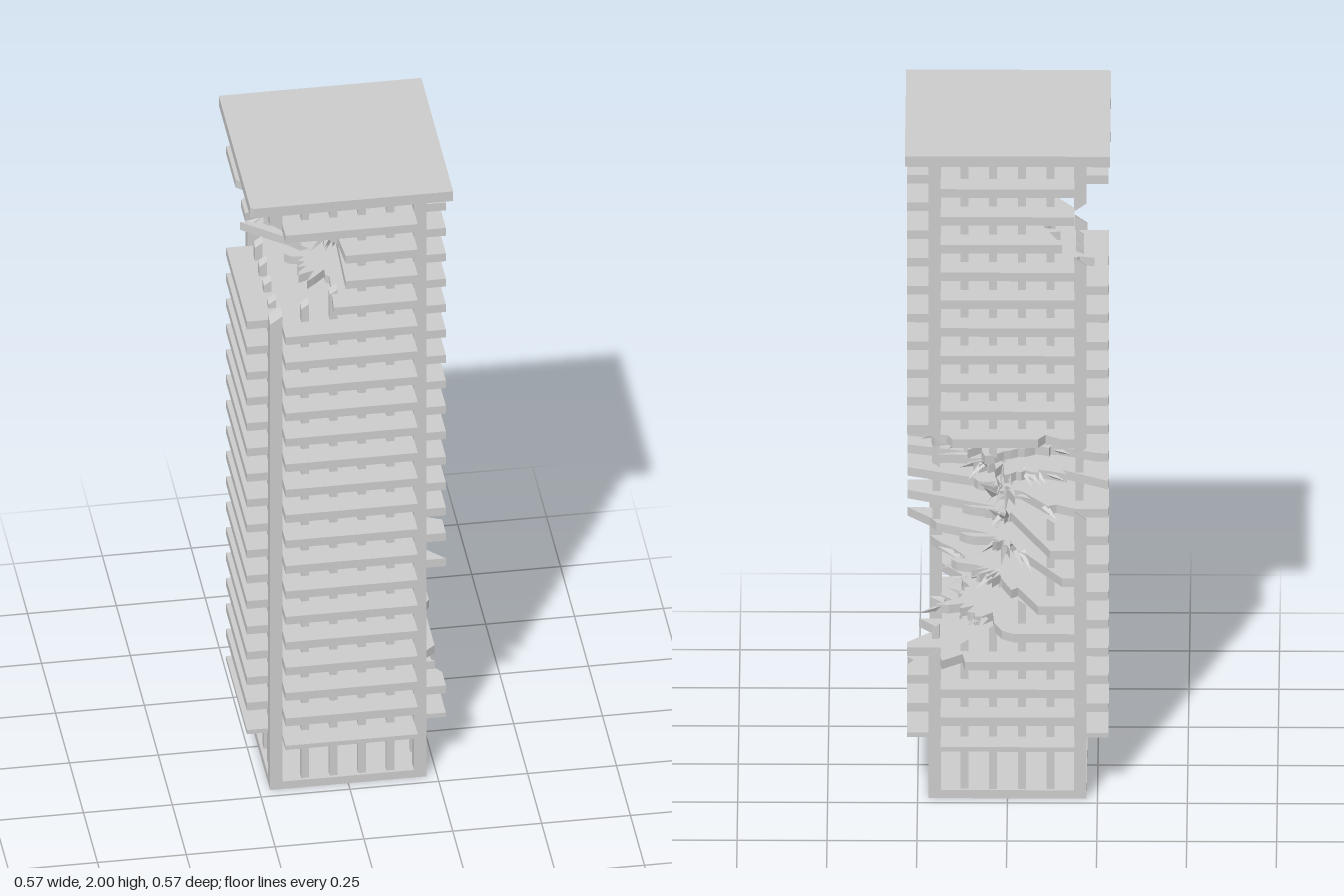
import * as THREE from 'three';

const material = new THREE.MeshStandardMaterial({ color: 0xcccccc, flatShading: true, side: THREE.DoubleSide });

// Ellipsoid bites torn out of the tower: centre and radii
const bites = [
  { c: [-0.79, 1.725, 0.22], r: [0.8, 0.22, 0.8] },   // upper side
  { c: [0.35, 0.77, -0.4], r: [0.5, 0.38, 0.5] },     // lower back corner
  { c: [-0.1, 0.96, -0.38], r: [0.26, 0.17, 0.26] },  // back face
  { c: [0.45, 0.5, 0.05], r: [0.33, 0.3, 0.22] },     // lower side
];

function isTorn(x, y, z, grow = 1) {
  return bites.some(({ c, r }) =>
    Math.hypot((x - c[0]) / r[0], (y - c[1]) / r[1], (z - c[2]) / r[2]) < grow);
}

function makeRandom(seed) {
  let s = seed;
  return () => (s = (s * 16807) % 2147483647) / 2147483647;
}

// Cross-shaped floor outline, each edge divided into short steps
function floorOutline() {
  const a = 0.28, b = 0.186;
  const corners = [];
  for (let k = 0; k < 4; k++) {
    for (const [x, z] of [[a, -b], [a, b], [b, b]]) {
      const p = new THREE.Vector2(x, z).rotateAround(new THREE.Vector2(), k * Math.PI / 2);
      corners.push(p);
    }
  }
  const points = [];
  corners.forEach((p, i) => {
    const q = corners[(i + 1) % corners.length];
    const steps = Math.max(2, Math.round(p.distanceTo(q) / 0.035));
    for (let j = 0; j < steps; j++) points.push(p.clone().lerp(q, j / steps));
  });
  return points;
}

// Flat plate from outline points (x, z), its underside at y
function plate(points, y, thickness, name) {
  const shape = new THREE.Shape(points.map(p => new THREE.Vector2(p.x, -p.y)));
  const geometry = new THREE.ExtrudeGeometry(shape, { depth: thickness, bevelEnabled: false });
  geometry.rotateX(-Math.PI / 2);
  const mesh = new THREE.Mesh(geometry, material);
  mesh.position.y = y;
  mesh.name = name;
  return mesh;
}

export function createModel() {
  const model = new THREE.Group();
  model.name = 'ruinedTower';
  const random = makeRandom(4711);

  // Base and roof
  const base = new THREE.Mesh(new THREE.BoxGeometry(0.44, 0.025, 0.44), material);
  base.position.y = 0.0125;
  base.name = 'base';
  model.add(base);
  const r = 0.285, chip = 0.008;
  const roofPoints = [[-r, -r], [r, -r], [r, r], [-r + chip, r], [-r, r - chip]]
    .map(([x, z]) => new THREE.Vector2(x, z));
  model.add(plate(roofPoints, 1.968, 0.032, 'roof'));

  // Floors, pulled in to a jagged edge where they are torn
  const floors = new THREE.Group();
  floors.name = 'floors';
  const shards = new THREE.Group();
  shards.name = 'shards';
  const outline = floorOutline();
  for (let i = 0; i <= 20; i++) {
    const y = 0.178 + i * 0.0853;
    const points = outline.map(p => {
      if (!isTorn(p.x, y, p.y)) return p;
      const grow = 0.95 + random() * 0.1;
      let t = 1;
      while (t > 0.1 && isTorn(p.x * t, y, p.y * t, grow)) t -= 0.01;
      const q = p.clone().multiplyScalar(t);
      if (t < 0.9 && random() < 0.2) shards.add(shard(q, y));
      return q;
    });
    const thickness = i === 0 ? 0.014 : 0.026;
    floors.add(plate(points, y - thickness / 2, thickness, 'floor'));
  }
  model.add(floors, shards);

  // Splinter sticking out of a torn floor edge
  function shard(p, y) {
    const mesh = new THREE.Mesh(new THREE.ConeGeometry(0.012, 0.05 + random() * 0.03, 3), material);
    const out = new THREE.Vector3(p.x, (random() - 0.6) * 0.15, p.y).normalize();
    mesh.quaternion.setFromUnitVectors(new THREE.Vector3(0, 1, 0), out);
    mesh.position.set(p.x, y, p.y).addScaledVector(out, 0.015);
    mesh.name = 'shard';
    return mesh;
  }

  // Columns, built from the stretches that still stand, with broken ends
  const columns = new THREE.Group();
  columns.name = 'columns';
  const top = 1.97;
  function addStretch(x, z, size, y0, y1, name) {
    if (y1 - y0 < 0.03) return;
    const geometry = new THREE.BoxGeometry(size, y1 - y0, size);
    geometry.translate(x, (y0 + y1) / 2, z);
    const pos = geometry.attributes.position;
    for (let k = 0; k < pos.count; k++) {
      const y = pos.getY(k);
      const tilt = ((pos.getX(k) - x) * Math.sign(x) + (pos.getZ(k) - z) * 0.5) * 0.7;
      if (y > y1 - 0.001 && y1 < top - 0.01) pos.setY(k, y - tilt);
      if (y < y0 + 0.001 && y0 > 0.01) pos.setY(k, y + tilt);
    }
    geometry.computeVertexNormals();
    const mesh = new THREE.Mesh(geometry, material);
    mesh.name = name;
    columns.add(mesh);
  }
  function addColumn(x, z, size, name) {
    let start = null;
    for (let i = 0; i <= 197; i++) {
      const y = i * 0.01;
      const torn = isTorn(x, y, z);
      if (!torn && start === null) start = y;
      if (start !== null && (torn || i === 197)) {
        addStretch(x, z, size, start, y, name);
        start = null;
      }
    }
  }
  for (const s of [-1, 1]) {
    for (const t of [-1, 1]) addColumn(s * 0.2025, t * 0.2025, 0.035, 'cornerColumn');
    for (const d of [-0.12, -0.04, 0.04, 0.12]) {
      addColumn(d, s * 0.2, 0.022, 'faceColumn');
      addColumn(s * 0.2, d, 0.022, 'faceColumn');
    }
  }
  model.add(columns);
  return model;
}
